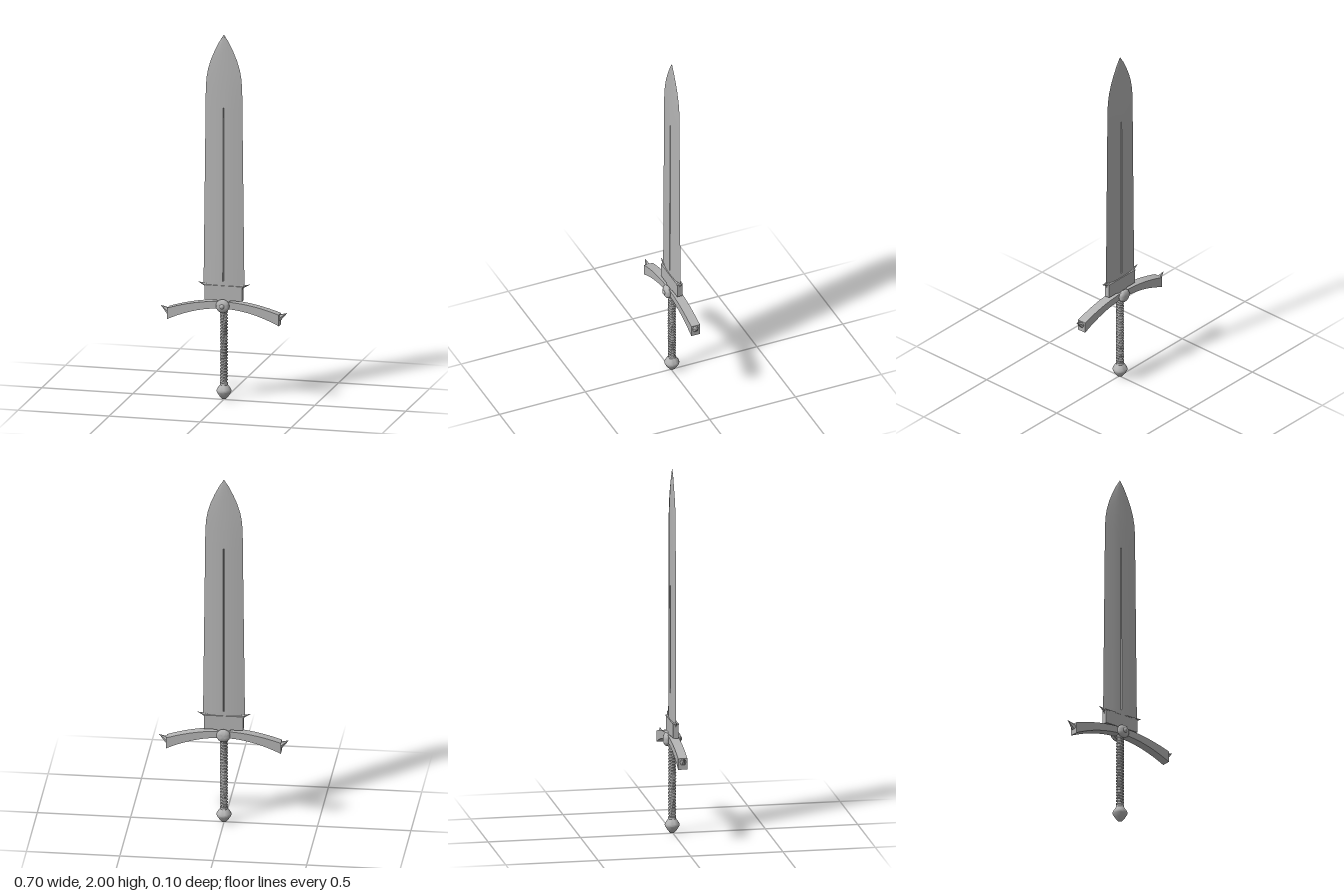
import * as THREE from 'three';
import { toCreasedNormals } from 'three/addons/utils/BufferGeometryUtils.js';

const Z = -0.004; // shared mid-plane of blade, guard and grip

// Blade: six-sided cross-sections with a narrow groove on both faces, lofted upwards
function bladeGeometry() {
  // height, half width, thickness factor, groove depth
  const rows = [
    [0.60, 0.104, 1, 0], [0.628, 0.113, 1, 0], [0.65, 0.112, 1, 0], [0.652, 0.112, 1, 0.005],
    [1.598, 0.101, 0.8, 0.004], [1.6, 0.101, 0.8, 0], [1.7, 0.1, 0.75, 0],
    [1.76, 0.096, 0.7, 0], [1.81, 0.087, 0.62, 0], [1.86, 0.072, 0.54, 0],
    [1.91, 0.051, 0.45, 0], [1.96, 0.026, 0.33, 0], [2.0, 0.0005, 0.05, 0],
  ];
  const loops = rows.map(([y, w, k, d]) => {
    const half = [[w, 0], [w * 0.5, 0.0095 * k], [w * 0.035, 0.0115 * k], [0, 0.0115 * k - d], [-w * 0.035, 0.0115 * k], [-w * 0.5, 0.0095 * k]];
    return [...half, ...half.map(([x, z]) => [-x, -z])].map(([x, z]) => [x, y, z]);
  });
  const n = loops[0].length, pos = [];
  for (let i = 0; i < loops.length - 1; i++) {
    for (let j = 0; j < n; j++) {
      const k = (j + 1) % n;
      const a = loops[i][j], b = loops[i][k], c = loops[i + 1][j], d = loops[i + 1][k];
      pos.push(...a, ...c, ...b, ...b, ...c, ...d);
    }
  }
  for (let j = 0; j < n; j++) pos.push(0, rows[0][0], 0, ...loops[0][j], ...loops[0][(j + 1) % n]);
  const g = new THREE.BufferGeometry();
  g.setAttribute('position', new THREE.Float32BufferAttribute(pos, 3));
  return toCreasedNormals(g, 0.15);
}

// Crossguard: drooping arc that flares towards its square ends
function guardGeometry() {
  const s = new THREE.Shape();
  s.moveTo(-0.307, 0.426);
  s.quadraticCurveTo(-0.15, 0.502, 0, 0.503);
  s.quadraticCurveTo(0.15, 0.502, 0.307, 0.426);
  s.lineTo(0.307, 0.487);
  s.quadraticCurveTo(0.15, 0.54, 0, 0.541);
  s.quadraticCurveTo(-0.15, 0.54, -0.307, 0.487);
  const g = new THREE.ExtrudeGeometry(s, { depth: 0.05, bevelEnabled: false, curveSegments: 14 });
  g.translate(0, 0, -0.03);
  return toCreasedNormals(g, 0.5);
}

// Helix wound around the grip
class Helix extends THREE.Curve {
  getPoint(t, target = new THREE.Vector3()) {
    const a = t * 24 * Math.PI * 2;
    return target.set(0.0165 * Math.cos(a), 0.092 + t * 0.405, 0.0165 * Math.sin(a));
  }
}

export function createModel() {
  const model = new THREE.Group();
  const steel = new THREE.MeshStandardMaterial({ color: 0xb4b4b4 });
  steel.name = 'steel';

  const add = (name, geometry, x = 0, y = 0, z = 0) => {
    const mesh = new THREE.Mesh(geometry, steel);
    mesh.name = name;
    mesh.position.set(x, y, z);
    model.add(mesh);
    return mesh;
  };
  const lathe = (points) => toCreasedNormals(
    new THREE.LatheGeometry(points.map(([r, y]) => new THREE.Vector2(r, y)), 24), 0.6);

  // Faceted spike from a base point to a tip
  const spike = (name, base, tip, radius) => {
    const from = new THREE.Vector3(...base), dir = new THREE.Vector3(...tip).sub(from);
    const length = dir.length();
    const g = toCreasedNormals(new THREE.ConeGeometry(radius, length, 6), 0.3);
    g.translate(0, length / 2, 0);
    const mesh = add(name, g, ...base);
    mesh.quaternion.setFromUnitVectors(new THREE.Vector3(0, 1, 0), dir.normalize());
  };

  add('blade', bladeGeometry(), 0, 0, Z);

  // Collar at the blade root with a thin lip
  add('collar', new THREE.BoxGeometry(0.208, 0.076, 0.03), 0, 0.584, Z);
  add('collarLip', new THREE.BoxGeometry(0.212, 0.006, 0.032), 0, 0.623, Z);
  add('collarNeck', new THREE.BoxGeometry(0.07, 0.03, 0.03), 0, 0.54, Z);

  add('crossguard', guardGeometry());
  for (const side of [-1, 1]) {
    const label = side > 0 ? 'left' : 'right';
    spike(label + 'CollarSpike', [side * 0.092, 0.621, Z], [side * 0.143, 0.638, Z], 0.011);
    spike(label + 'GuardSpike', [side * 0.302, 0.466, Z], [side * 0.348, 0.496, Z], 0.019);
  }

  // Domed bosses on both faces of the guard
  const boss = lathe([[0, 0], [0.022, 0], [0.022, 0.011], [0.03, 0.012], [0.036, 0.018], [0.037, 0.023],
    [0.034, 0.03], [0.026, 0.036], [0.014, 0.04], [0, 0.041]]);
  add('frontBoss', boss, 0, 0.518, 0.002).rotation.x = Math.PI / 2;
  add('backBoss', boss, 0, 0.518, -0.012).rotation.x = -Math.PI / 2;
  add('frontStud', new THREE.SphereGeometry(0.014, 16, 10), 0, 0.518, 0.038).scale.z = 0.85;

  // Grip core and spiral wrap
  add('gripCore', new THREE.CylinderGeometry(0.017, 0.017, 0.43, 20), 0, 0.295, Z);
  add('gripWrap', new THREE.TubeGeometry(new Helix(), 480, 0.0055, 6), 0, 0, Z);

  // Double-cone pommel
  add('pommel', lathe([[0, 0], [0.012, 0.004], [0.026, 0.021], [0.038, 0.04], [0.04, 0.047], [0.038, 0.056],
    [0.029, 0.07], [0.021, 0.08], [0.021, 0.092], [0, 0.092]]), 0, 0, Z);

  return model;
}
